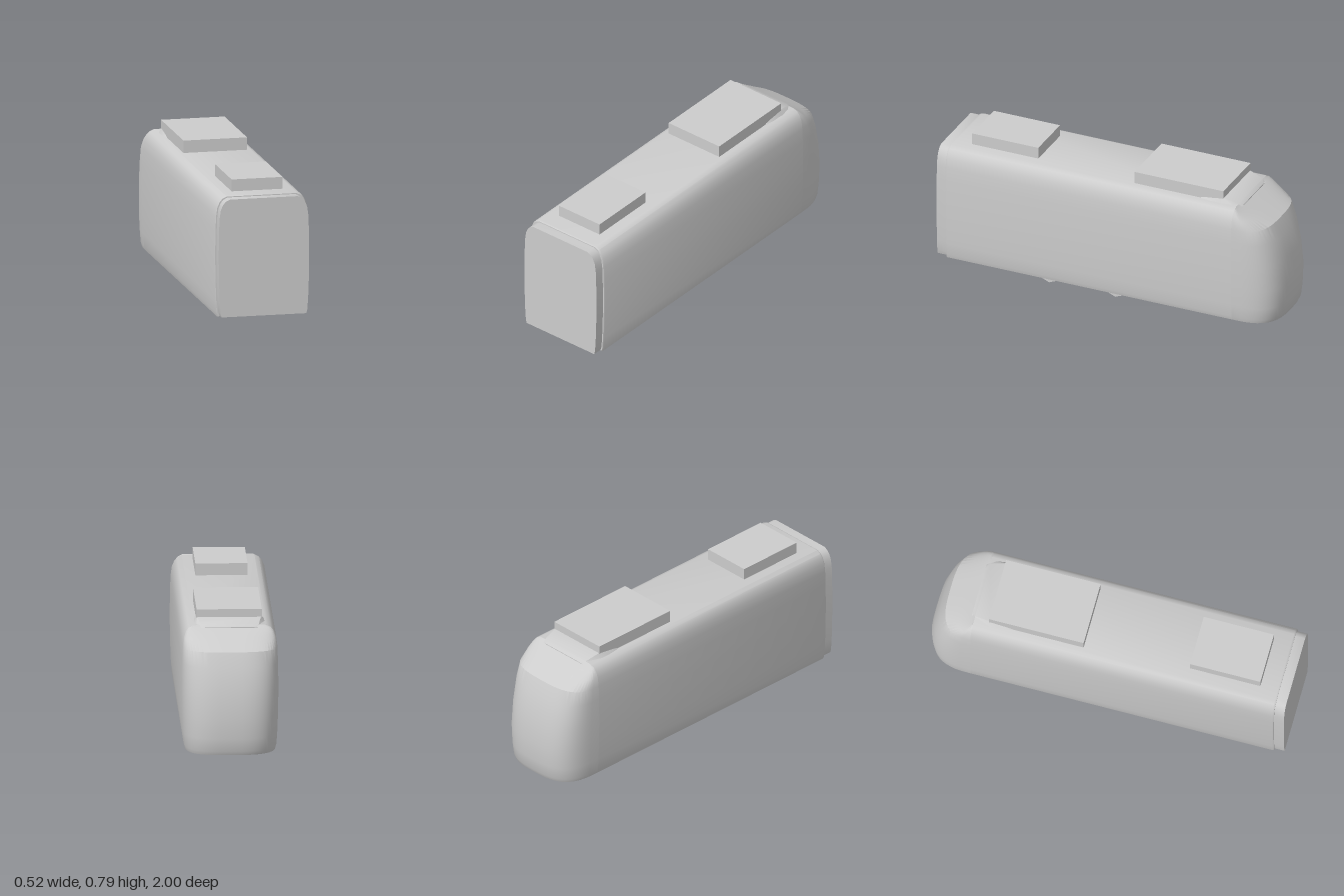
import * as THREE from 'three';
import { toCreasedNormals } from 'three/addons/utils/BufferGeometryUtils.js';

// Half cross-section of the car body: [half width, height], bottom to top
const SECTION = [
  [0.243, 0.058], [0.249, 0.08], [0.254, 0.15], [0.258, 0.26], [0.26, 0.4], [0.258, 0.53],
  [0.255, 0.61], [0.248, 0.66], [0.235, 0.69], [0.22, 0.708], [0.195, 0.72],
];
// How far the nose reaches ahead of the body at each section height
const NOSE_DEPTH = [0.237, 0.247, 0.255, 0.259, 0.243, 0.213, 0.18, 0.098, 0.049, 0.02, 0];
const BODY_BACK = -0.74;
const BODY_FRONT = 0.945;

// Closed mesh from equal-length rings of points, with optional end caps
function loft(rings, capStart, capEnd) {
  const n = rings[0].length, index = [];
  for (let r = 0; r + 1 < rings.length; r++) {
    for (let i = 0; i < n; i++) {
      const a = r * n + i, b = r * n + (i + 1) % n;
      index.push(a, b, b + n, a, b + n, a + n);
    }
  }
  const last = (rings.length - 1) * n;
  for (let i = 1; i + 1 < n; i++) {
    if (capStart) index.push(0, i + 1, i);
    if (capEnd) index.push(last, last + i, last + i + 1);
  }
  const geometry = new THREE.BufferGeometry();
  geometry.setAttribute('position', new THREE.Float32BufferAttribute(rings.flat(2), 3));
  geometry.setIndex(index);
  return toCreasedNormals(geometry, 0.6);
}

// Full body outline at depth z, counter-clockwise from the front
function outline(z, sx = 1, sy = 1) {
  const mid = 0.388;
  const side = SECTION.map(([x, y]) => [x * sx, mid + (y - mid) * sy, z]);
  return [...side, ...side.map(([x, y]) => [-x, y, z]).reverse()];
}

export function createModel() {
  const group = new THREE.Group();
  group.name = 'railCar';
  const grey = new THREE.MeshStandardMaterial({ color: 0xcccccc, side: THREE.DoubleSide });
  grey.name = 'light grey';

  const add = (name, geometry, x = 0, y = 0, z = 0) => {
    const mesh = new THREE.Mesh(geometry, grey);
    mesh.name = name;
    mesh.position.set(x, y, z);
    group.add(mesh);
    return mesh;
  };

  // Main body, with a slight chamfer at the coupling end
  add('body', loft([
    outline(BODY_BACK), outline(BODY_FRONT - 0.008), outline(BODY_FRONT, 0.985, 0.99),
  ], true, true));

  // Narrower collar with a flat end panel
  add('endCollar', loft([outline(BODY_FRONT - 0.01, 0.96, 0.975), outline(1, 0.96, 0.975)], false, true));

  // Rounded nose: stacked plan curves that recede up the sloping windscreen
  const steps = 28;
  const noseRings = SECTION.map(([w, y], k) => {
    const ring = [];
    for (let i = 0; i <= steps; i++) {
      const t = (i / steps) * Math.PI, c = Math.cos(t);
      const x = w * Math.sign(c) * Math.abs(c) ** 0.66;
      const z = BODY_BACK - NOSE_DEPTH[k] * Math.abs(Math.sin(t)) ** 0.66;
      ring.push([x, y, z]);
    }
    return ring.reverse();
  });
  // The ring runs the other way seen from above, so reverse it for outward faces
  add('nose', loft(noseRings.map((r) => r.reverse().map(([x, y, z]) => [-x, y, z])), true, false));

  // Low roof fairing between the nose and the rear roof unit: [z, half width, height]
  const fairing = [
    [-0.76, 0.15, 0.712], [-0.74, 0.18, 0.722], [-0.65, 0.197, 0.747],
    [-0.58, 0.197, 0.737], [-0.53, 0.192, 0.734], [-0.5, 0.175, 0.722],
  ];
  add('roofFairing', loft(fairing.map(([z, w, h]) => [
    [w, 0.708, z], [w - 0.025, h, z], [-w + 0.025, h, z], [-w, 0.708, z],
  ]), true, true));

  // Roof equipment boxes
  add('frontRoofUnit', new THREE.BoxGeometry(0.28, 0.075, 0.39), 0, 0.7475, 0.645);
  add('rearRoofUnit', new THREE.BoxGeometry(0.35, 0.078, 0.525), 0, 0.749, -0.395);

  // Eight-sided wheels half sunk into the floor
  for (const z of [0.37, -0.02]) {
    for (const side of [-1, 1]) {
      const wheel = new THREE.CylinderGeometry(0.06, 0.06, 0.022, 8);
      add(side > 0 ? 'leftWheel' : 'rightWheel', wheel.rotateZ(Math.PI / 2), side * 0.164, 0.06, z);
    }
  }
  return group;
}
